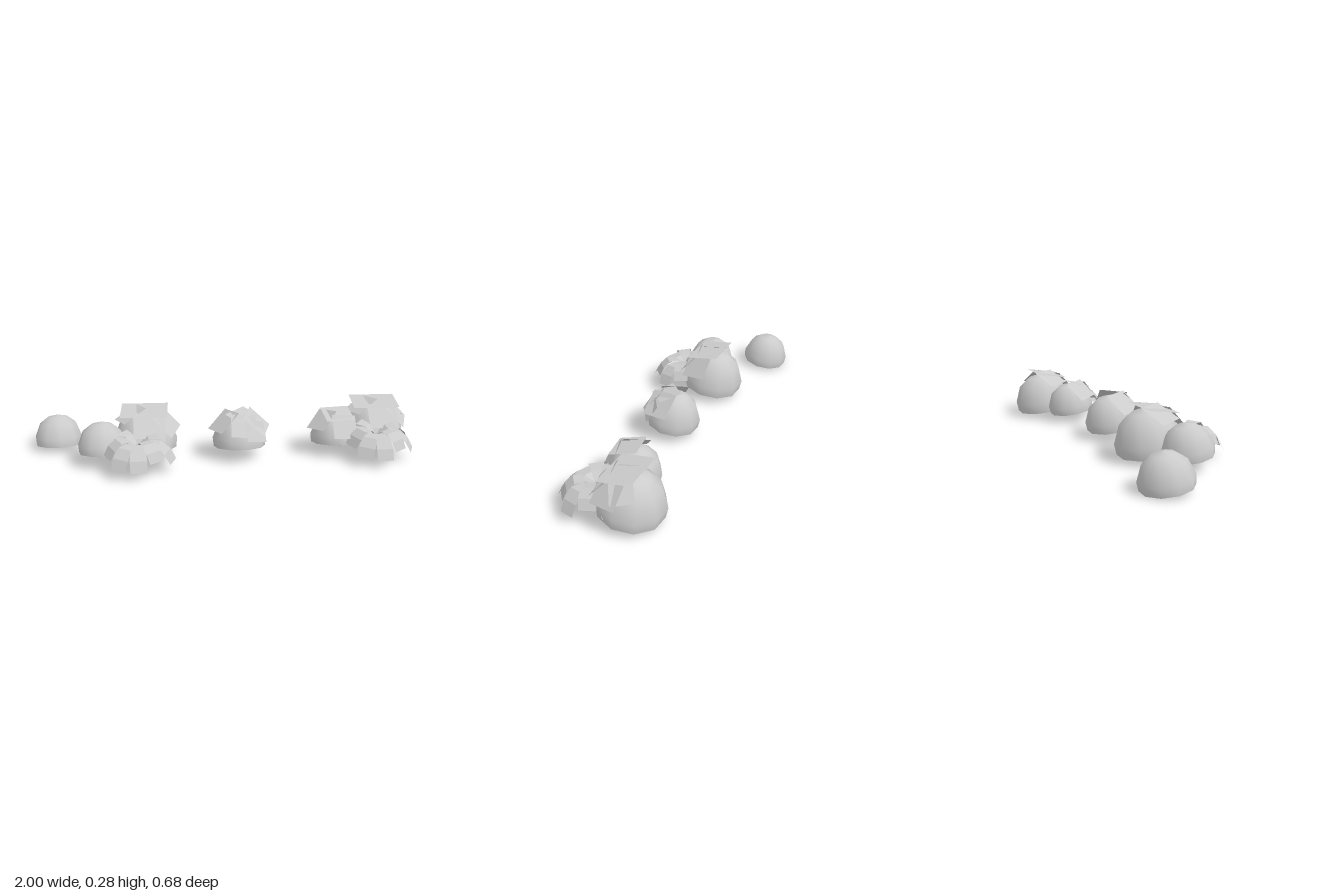
import * as THREE from 'three';

const SLOPE = 0.155; // the whole row sits on ground that falls toward the back
const smooth = new THREE.MeshStandardMaterial({ color: 0xcccccc, side: THREE.DoubleSide });
const faceted = new THREE.MeshStandardMaterial({ color: 0xcccccc, side: THREE.DoubleSide, flatShading: true });
const rad = THREE.MathUtils.degToRad;

// Open-bottomed ten-sided dome, a little more than half a ball
function makeDome(r) {
  const profile = [-15, 4, 39, 66, 90].map(
    (a) => new THREE.Vector2(Math.max(r * Math.cos(rad(a)), 0), r * Math.sin(rad(a))));
  const dome = new THREE.Mesh(new THREE.LatheGeometry(profile, 10, rad(10)), smooth);
  dome.name = 'dome';
  dome.rotation.x = -SLOPE;
  return dome;
}

// Flat leaf lying against a dome; az runs from the front toward +x, el is height angle
function makeLeaf(r, [az, el, w, h, spin]) {
  const a = rad(az), e = rad(el);
  const out = new THREE.Vector3(Math.sin(a) * Math.cos(e), Math.sin(e), Math.cos(a) * Math.cos(e));
  const leaf = new THREE.Mesh(new THREE.PlaneGeometry(w, h), faceted);
  leaf.name = 'leaf';
  leaf.position.copy(out).multiplyScalar(r * 1.02);
  leaf.rotation.set(-e, a, rad(spin), 'YXZ');
  return leaf;
}

// Arching strip that leaves the flower centre, rises, then droops
function makePetal(scale, lift) {
  const path = [[0.01, 0, 0.025], [0.06, 0.03, 0.05], [0.115, 0.027, 0.075], [0.16, -0.01, 0.085], [0.19, -0.06, 0.08]];
  const geo = new THREE.PlaneGeometry(1, 1, 1, path.length - 1);
  const pos = geo.attributes.position;
  path.forEach(([d, y, w], i) => {
    for (const k of [0, 1]) pos.setXYZ(i * 2 + k, (k - 0.5) * w, y + lift * d, d * scale);
  });
  geo.computeVertexNormals();
  const petal = new THREE.Mesh(geo, faceted);
  petal.name = 'petal';
  return petal;
}

// Ring of petals in two alternating layers
function makeFlower(x, y, z) {
  const flower = new THREE.Group();
  flower.name = 'flower';
  const count = 11;
  for (let i = 0; i < count; i++) {
    const petal = makePetal(i % 2 ? 0.88 : 1, i % 2 ? 0.16 : 0);
    petal.rotation.y = (i / count) * Math.PI * 2;
    flower.add(petal);
  }
  flower.position.set(x, y, z);
  flower.rotation.x = 0.1;
  return flower;
}

export function createModel() {
  const model = new THREE.Group();
  model.name = 'shrubRow';

  // Leaves: azimuth, elevation, width, height, spin
  const bigLeaves = [
    [-10, 82, 0.24, 0.17, 5], [60, 42, 0.15, 0.14, 12],
    [8, 42, 0.16, 0.14, -6], [-75, 62, 0.13, 0.14, 10],
  ];
  const bushes = [
    { name: 'bareBush', x: -0.873, z: -0.215, r: 0.127, leaves: [] },
    { name: 'smallBush', x: -0.63, z: 0.055, r: 0.126, leaves: [] },
    { name: 'largeBush', x: -0.407, z: -0.025, r: 0.165, leaves: bigLeaves },
    { name: 'middleBush', x: 0.08, z: 0.035, r: 0.14, leaves: [
      [-72, 50, 0.14, 0.14, 8], [5, 45, 0.13, 0.13, -8], [62, 48, 0.15, 0.14, 10],
      [35, 30, 0.12, 0.11, -14], [20, 76, 0.14, 0.12, 20]] },
    { name: 'smallBush', x: 0.595, z: 0.035, r: 0.13, leaves: [
      [0, 76, 0.15, 0.14, 3], [-70, 48, 0.13, 0.13, 12], [12, 36, 0.13, 0.13, -8]] },
    { name: 'largeBush', x: 0.822, z: -0.045, r: 0.165,
      leaves: [...bigLeaves, [92, 48, 0.11, 0.1, 18]] },
  ];

  for (const { name, x, z, r, leaves } of bushes) {
    const bush = new THREE.Group();
    bush.name = name;
    bush.position.set(x, 0.055 + SLOPE * z + r * 0.24, z);
    bush.add(makeDome(r));
    for (const leaf of leaves) bush.add(makeLeaf(r, leaf));
    model.add(bush);
  }

  // Flowers in front of the two large bushes
  model.add(makeFlower(-0.452, 0.125, 0.155), makeFlower(0.788, 0.122, 0.135));
  return model;
}
